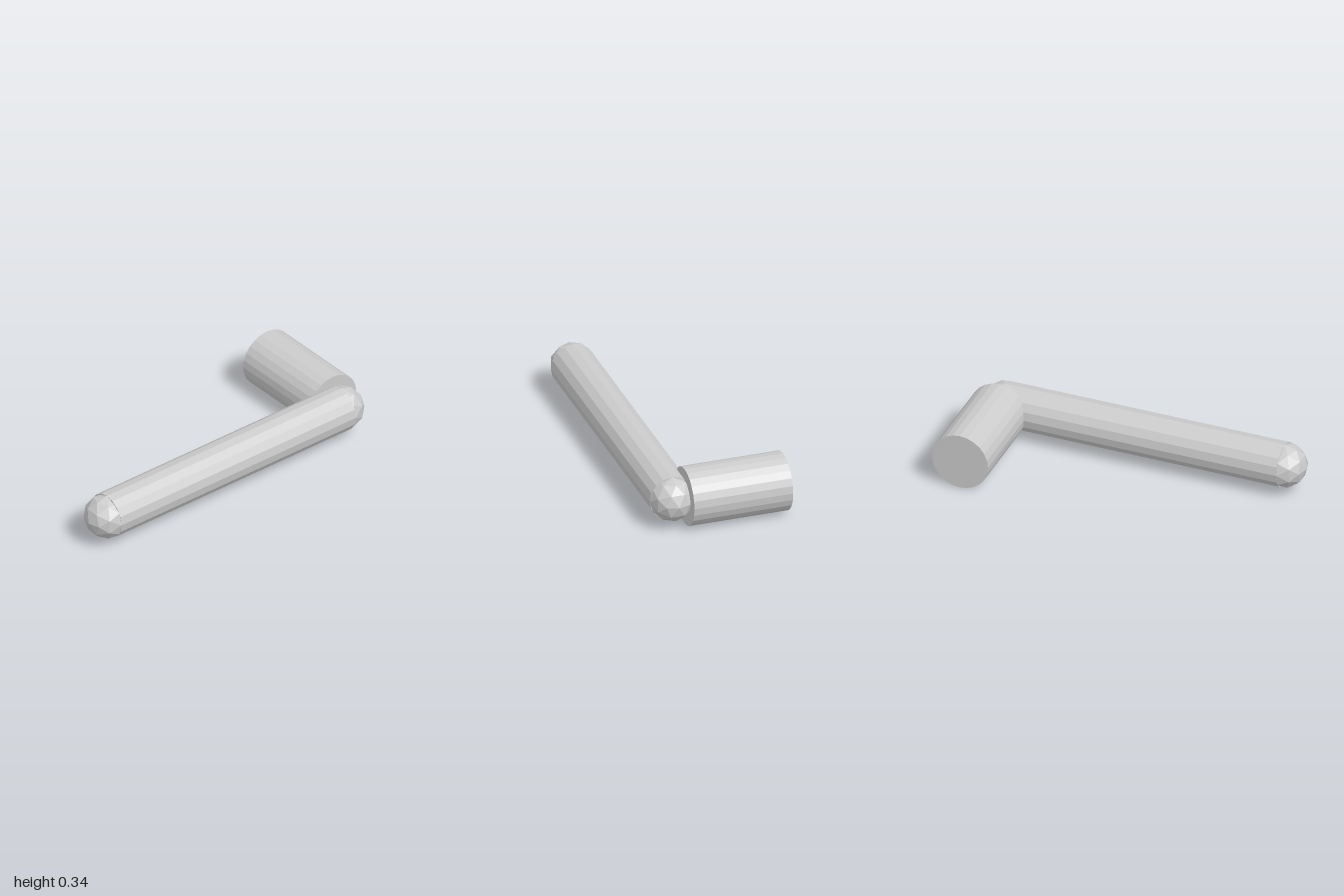
import * as THREE from 'three';

export function createModel() {
  const model = new THREE.Group();
  const material = new THREE.MeshStandardMaterial({ color: 0xcccccc, flatShading: true });

  const centreY = 0.171, barZ = 0.265, barRadius = 0.131;
  const hubX = 0.83, tipX = -0.87;

  function add(name, geometry, x, y, z) {
    const mesh = new THREE.Mesh(geometry, material);
    mesh.name = name;
    mesh.position.set(x, y, z);
    model.add(mesh);
    return mesh;
  }

  // Long horizontal lever bar
  const bar = new THREE.CylinderGeometry(barRadius, barRadius, hubX - tipX, 16);
  bar.rotateZ(Math.PI / 2);
  add('leverBar', bar, (hubX + tipX) / 2, centreY, barZ);

  // Faceted ball at each end of the bar
  for (const [name, x] of [['hubEndBall', hubX], ['tipBall', tipX]]) {
    add(name, new THREE.IcosahedronGeometry(barRadius, 1), x, centreY, barZ);
  }

  // Thick spindle running back from the bar
  const front = 0.19, back = -0.396;
  const spindle = new THREE.CylinderGeometry(0.17, 0.17, front - back, 24);
  spindle.rotateX(Math.PI / 2);
  add('spindle', spindle, hubX, centreY, (front + back) / 2);

  return model;
}
